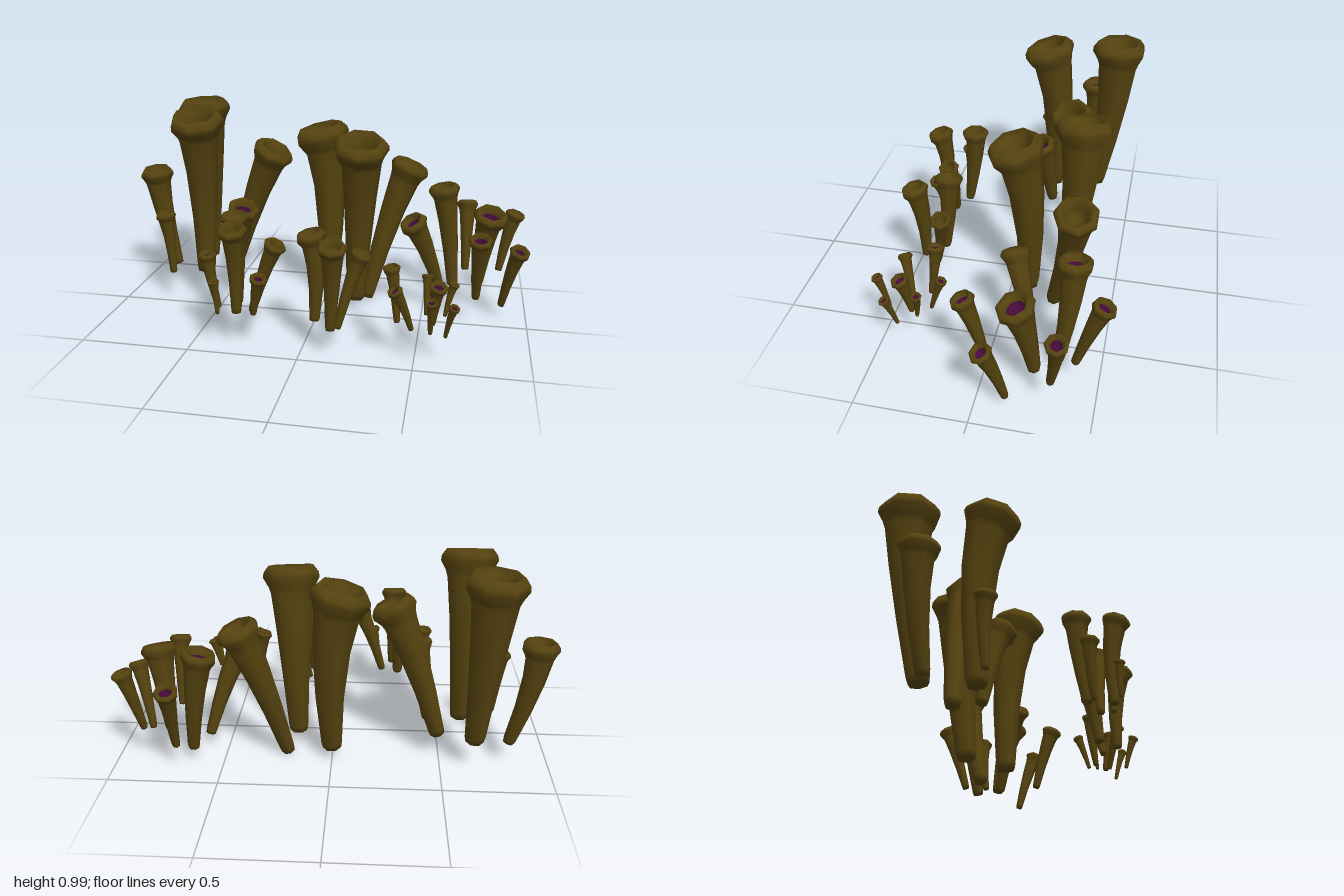
import * as THREE from 'three';
import { mergeVertices } from 'three/addons/utils/BufferGeometryUtils.js';

const V = (x, y, z) => new THREE.Vector3(x, y, z);
const UP = V(0, 1, 0);

// Each tube: rim centre, base centre, rim radius, optional extra rim tilt [x, z]
const LEFT = [
  [[-0.68, 0.93, -0.385], [-0.65, 0.15, -0.31], 0.135],
  [[-0.6, 0.925, -0.04], [-0.6, 0.15, -0.09], 0.13, [0, 0.15]],
  [[-0.91, 0.6, -0.265], [-0.815, 0.11, -0.25], 0.085, [0.25, 0]],
  [[-0.78, 0.45, -0.03], [-0.755, 0.15, -0.03], 0.05],
  [[-0.27, 0.75, -0.21], [-0.49, 0.12, -0.21], 0.105],
  [[-0.38, 0.5, -0.04], [-0.45, 0.14, -0.1], 0.08],
];
const MIDDLE = [
  [[-0.04, 0.83, -0.3], [0, 0.06, -0.25], 0.137, [-0.18, 0]],
  [[0.195, 0.83, -0.035], [0.17, 0.055, -0.095], 0.132, [0, 0.1]],
  [[0.4, 0.67, -0.335], [0.21, 0.013, -0.22], 0.1],
];
const INNER_RIGHT = [
  [[0.575, 0.56, -0.36], [0.64, 0.075, -0.315], 0.08],
];
const OUTER_RIGHT = [
  [[0.695, 0.455, -0.5], [0.7, 0.13, -0.395], 0.055, [0, -0.2]],
  [[0.93, 0.455, -0.345], [0.865, 0.17, -0.315], 0.05],
  [[0.805, 0.495, -0.16], [0.76, 0.12, -0.23], 0.085],
  [[0.945, 0.365, -0.05], [0.88, 0.06, -0.13], 0.05],
  [[0.76, 0.45, 0.07], [0.755, 0.135, -0.02], 0.055],
  [[0.445, 0.465, -0.085], [0.585, 0.075, -0.19], 0.07],
];

// Profiles as [radius, position along path, offset past the path]; radius and offset scale with the rim
const BODY = [
  [0, 0, 0], [0.32, 0, 0], [0.36, 0.03, 0], [0.48, 0.3, 0], [0.62, 0.6, 0], [0.75, 0.86, 0],
  [0.82, 1, -0.4], [1, 1, -0.08], [0.98, 1, 0.1], [0.8, 1, 0.34], [0.62, 1, 0.2], [0.5, 1, -0.1],
];
const THROAT = [[0.5, 1, -0.1], [0.38, 1, -0.45], [0, 1, -0.6]];

// Spin a profile in seven sides and bend it along the curve
function bentLathe(profile, curve, rim) {
  const points = profile.map((p, i) => new THREE.Vector2(p[0] * rim, i));
  const geo = new THREE.LatheGeometry(points, 7);
  const pos = geo.attributes.position;
  const q = new THREE.Quaternion();
  for (let i = 0; i < pos.count; i++) {
    const [, t, offset] = profile[Math.round(pos.getY(i))];
    const tangent = curve.getTangent(t);
    q.setFromUnitVectors(UP, tangent);
    const v = V(pos.getX(i), 0, pos.getZ(i)).applyQuaternion(q);
    v.add(curve.getPoint(t)).addScaledVector(tangent, offset * rim);
    pos.setXYZ(i, v.x, v.y, v.z);
  }
  geo.deleteAttribute('normal');
  geo.deleteAttribute('uv');
  const merged = mergeVertices(geo, 1e-5);
  merged.computeVertexNormals();
  return merged;
}

// The path leaves the base and arrives square to the rim, which tilts with the lean
function tubePath(top, base, extra) {
  const a = V(...base), b = V(...top);
  const lean = b.clone().sub(a).divideScalar(b.y - a.y);
  const n = V(1.5 * lean.x + extra[0], 1, lean.z + 0.12 + extra[1]).normalize();
  const control = b.clone().addScaledVector(n, -0.35 * a.distanceTo(b));
  return new THREE.QuadraticBezierCurve3(a, control, b);
}

export function createModel() {
  const brown = new THREE.MeshStandardMaterial({ color: 0x55430f });
  brown.name = 'olive brown';
  const purple = new THREE.MeshStandardMaterial({ color: 0x480b3c });
  purple.name = 'dark purple';

  const model = new THREE.Group();
  model.name = 'tubeClusters';
  const largeCluster = new THREE.Group();
  largeCluster.name = 'largeCluster';
  const smallCluster = new THREE.Group();
  smallCluster.name = 'smallCluster';
  model.add(largeCluster, smallCluster);

  function addClump(name, tubes, smallShift) {
    const clump = new THREE.Group();
    clump.name = name;
    for (const [top, base, rim, extra = [0, 0]] of tubes) {
      const curve = tubePath(top, base, extra);
      const body = new THREE.Mesh(bentLathe(BODY, curve, rim), brown);
      body.name = 'tubeBody';
      // Only the slimmer tubes have purple throats
      const throat = new THREE.Mesh(bentLathe(THROAT, curve, rim), rim < 0.1 ? purple : brown);
      throat.name = 'tubeThroat';
      clump.add(body, throat);
    }
    largeCluster.add(clump);

    // The front cluster repeats every clump at half size
    const copy = clump.clone();
    copy.scale.setScalar(0.5);
    copy.position.set(smallShift, 0.1, 0.48);
    smallCluster.add(copy);
  }

  addClump('leftClump', LEFT, 0.015);
  addClump('middleClump', MIDDLE, 0.05);
  addClump('innerRightClump', INNER_RIGHT, 0.095);
  addClump('outerRightClump', OUTER_RIGHT, 0.19);
  return model;
}
